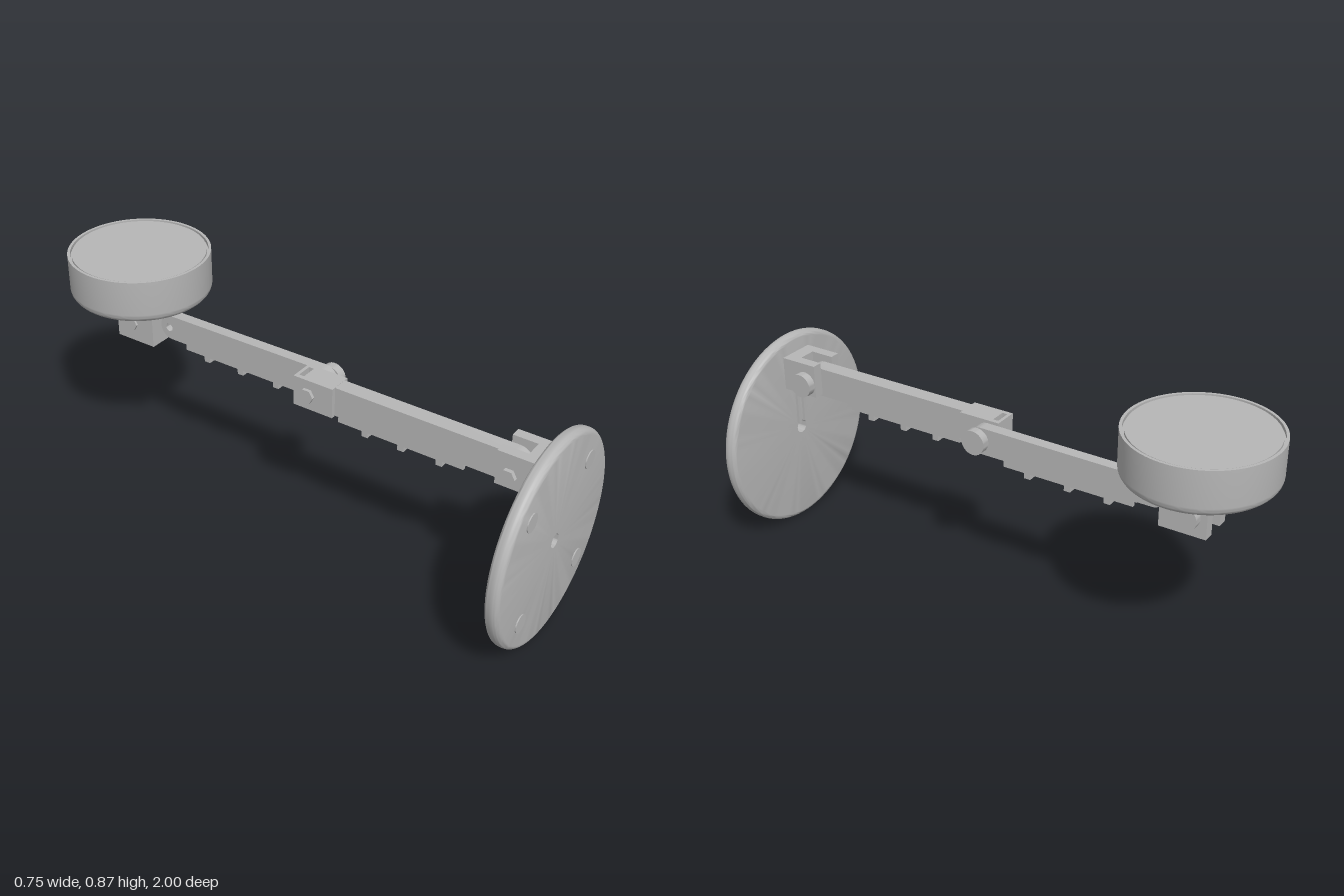
import * as THREE from 'three';
import { toCreasedNormals } from 'three/addons/utils/BufferGeometryUtils.js';

export function createModel() {
  const model = new THREE.Group();
  const grey = new THREE.MeshStandardMaterial({ color: 0xb6b6b6 });
  grey.name = 'grey plastic';

  const add = (name, geometry, x = 0, y = 0, z = 0) => {
    const mesh = new THREE.Mesh(geometry, grey);
    mesh.name = name;
    mesh.position.set(x, y, z);
    model.add(mesh);
    return mesh;
  };
  // Box given by its limits on each axis
  const box = (name, x0, x1, y0, y1, z0, z1) =>
    add(name, new THREE.BoxGeometry(x1 - x0, y1 - y0, z1 - z0), (x0 + x1) / 2, (y0 + y1) / 2, (z0 + z1) / 2);
  // Cylinder lying along x
  const pin = (name, x0, x1, y, z, r, sides = 40) =>
    add(name, toCreasedNormals(new THREE.CylinderGeometry(r, r, x1 - x0, sides).rotateZ(Math.PI / 2), 0.6), (x0 + x1) / 2, y, z);
  // Lathe profile with rounded corners: corners are [radius, height, fillet]
  const lathe = (corners, segments = 96) => {
    const pts = [];
    corners.forEach(([r, y, f], i) => {
      if (!f) return pts.push(new THREE.Vector2(r, y));
      const here = new THREE.Vector2(r, y);
      const toward = (c) => new THREE.Vector2(c[0], c[1]).sub(here).setLength(f).add(here);
      const a = toward(corners[i - 1]), b = toward(corners[i + 1]);
      const centre = a.clone().add(b).sub(here);
      for (let k = 0; k <= 8; k++) {
        const t = (k / 8) * Math.PI / 2;
        pts.push(centre.clone()
          .addScaledVector(a.clone().sub(centre), Math.cos(t))
          .addScaledVector(b.clone().sub(centre), Math.sin(t)));
      }
    });
    return toCreasedNormals(new THREE.LatheGeometry(pts, segments), 0.6);
  };
  // Shape drawn in (z, y), extruded along x between two limits
  const sideExtrude = (name, shape, x0, x1) => {
    const g = new THREE.ExtrudeGeometry(shape, { depth: x1 - x0, bevelEnabled: false, curveSegments: 20 });
    g.rotateY(-Math.PI / 2);
    return add(name, toCreasedNormals(g, 0.6), x1);
  };

  // Wall plate with centre hole and four pads
  const plate = lathe([[0.025, 0], [0.376, 0, 0.02], [0.376, 0.052, 0.022], [0.025, 0.052], [0.025, 0]]);
  add('wallPlate', plate.rotateX(Math.PI / 2), 0, 0.378, 0.944);
  for (const x of [-0.2, 0.2]) for (const y of [0.178, 0.578]) {
    add('platePad', toCreasedNormals(new THREE.CylinderGeometry(0.033, 0.033, 0.006, 40).rotateX(Math.PI / 2), 0.6), x, y, 0.997);
  }
  // Cable guide rails running from the bracket down to the hole
  for (const s of [-1, 1]) box('cableRail', s * 0.016 - 0.006, s * 0.016 + 0.006, 0.4, 0.57, 0.934, 0.946);

  // Wall bracket with slot for the arm
  box('bracketBack', -0.07, 0.07, 0.565, 0.69, 0.89, 0.946);
  for (const s of [-1, 1]) box('bracketCheek', s * 0.051 - 0.019, s * 0.051 + 0.019, 0.565, 0.69, 0.8, 0.892);

  // Rails and tabs that hold the cable under an arm
  const cableChannel = (x, half, z0, z1, tabs) => {
    for (const s of [-1, 1]) {
      const c = x + s * (half - 0.006);
      box('channelRail', c - 0.006, c + 0.006, 0.535, 0.56, z0, z1);
    }
    for (const z of tabs) box('cableTab', x - half, x + half, 0.515, 0.537, z - 0.012, z + 0.012);
  };

  // First arm, rounded where it pivots in the bracket
  const first = new THREE.Shape();
  first.moveTo(0.165, 0.555);
  first.lineTo(0.83, 0.555);
  first.absarc(0.83, 0.61, 0.055, -Math.PI / 2, Math.PI / 2, false);
  first.lineTo(0.165, 0.665);
  sideExtrude('firstArm', first, -0.029, 0.029);
  cableChannel(0, 0.029, 0.19, 0.67, [0.58, 0.435, 0.295]);

  // Hollow elbow housing, open below and slotted on top
  for (const s of [-1, 1]) box('elbowSide', s * 0.037 - 0.008, s * 0.037 + 0.008, 0.553, 0.666, 0.018, 0.175);
  box('elbowTop', -0.03, 0.03, 0.65, 0.666, 0.05, 0.175);
  box('elbowEnd', -0.03, 0.03, 0.553, 0.666, 0.018, 0.03);

  // Second arm with a round eye at each end
  const second = new THREE.Shape();
  second.moveTo(-0.592, 0.557);
  second.lineTo(0.06, 0.557);
  second.absarc(0.06, 0.607, 0.05, -Math.PI / 2, Math.PI / 2, false);
  second.lineTo(-0.592, 0.653);
  second.absarc(-0.592, 0.605, 0.048, Math.PI / 2, Math.PI * 1.5, false);
  const eye = new THREE.Path();
  eye.absarc(-0.602, 0.603, 0.015, 0, Math.PI * 2, true);
  second.holes.push(eye);
  sideExtrude('secondArm', second, 0.048, 0.09);
  cableChannel(0.069, 0.021, -0.525, -0.03, [-0.125, -0.28, -0.43]);

  // Head bracket: open below and at the back
  for (const s of [-1, 1]) {
    const c = 0.07 + s * 0.05;
    box('headBracketCheek', c - 0.02, c + 0.02, 0.53, 0.675, -0.808, -0.642);
  }
  box('headBracketTop', 0.04, 0.1, 0.645, 0.675, -0.808, -0.642);
  box('headBracketFront', 0.04, 0.1, 0.53, 0.65, -0.668, -0.642);
  add('headStem', toCreasedNormals(new THREE.CylinderGeometry(0.04, 0.04, 0.04, 40), 0.6), 0.07, 0.69, -0.74);

  // Pivot bolts: round knob on the left, hex nut on the right
  const bolt = (y, z, nutX, cheekX, knobX) => {
    pin('pivotPin', nutX, knobX, y, z, 0.015);
    pin('pivotKnob', cheekX, knobX, y, z, 0.045);
    pin('pivotNut', nutX, nutX + 0.02, y, z, 0.028, 6);
  };
  bolt(0.612, 0.847, -0.085, 0.068, 0.1);
  bolt(0.608, 0.075, -0.057, 0.088, 0.12);
  bolt(0.6, -0.74, -0.008, 0.138, 0.17);

  // Round head with a recessed lid and a cable outlet below
  add('head', lathe([[0, 0], [0.258, 0, 0.035], [0.258, 0.164], [0.248, 0.164], [0.248, 0.15], [0, 0.15]]), 0.07, 0.705, -0.742);
  add('headLid', toCreasedNormals(new THREE.CylinderGeometry(0.242, 0.242, 0.02, 96), 0.6), 0.07, 0.856, -0.742);
  add('cableOutlet', lathe([[0.013, 0], [0.027, 0], [0.027, 0.03], [0.013, 0.03], [0.013, 0]], 24), 0.07, 0.682, -0.89);

  return model;
}
